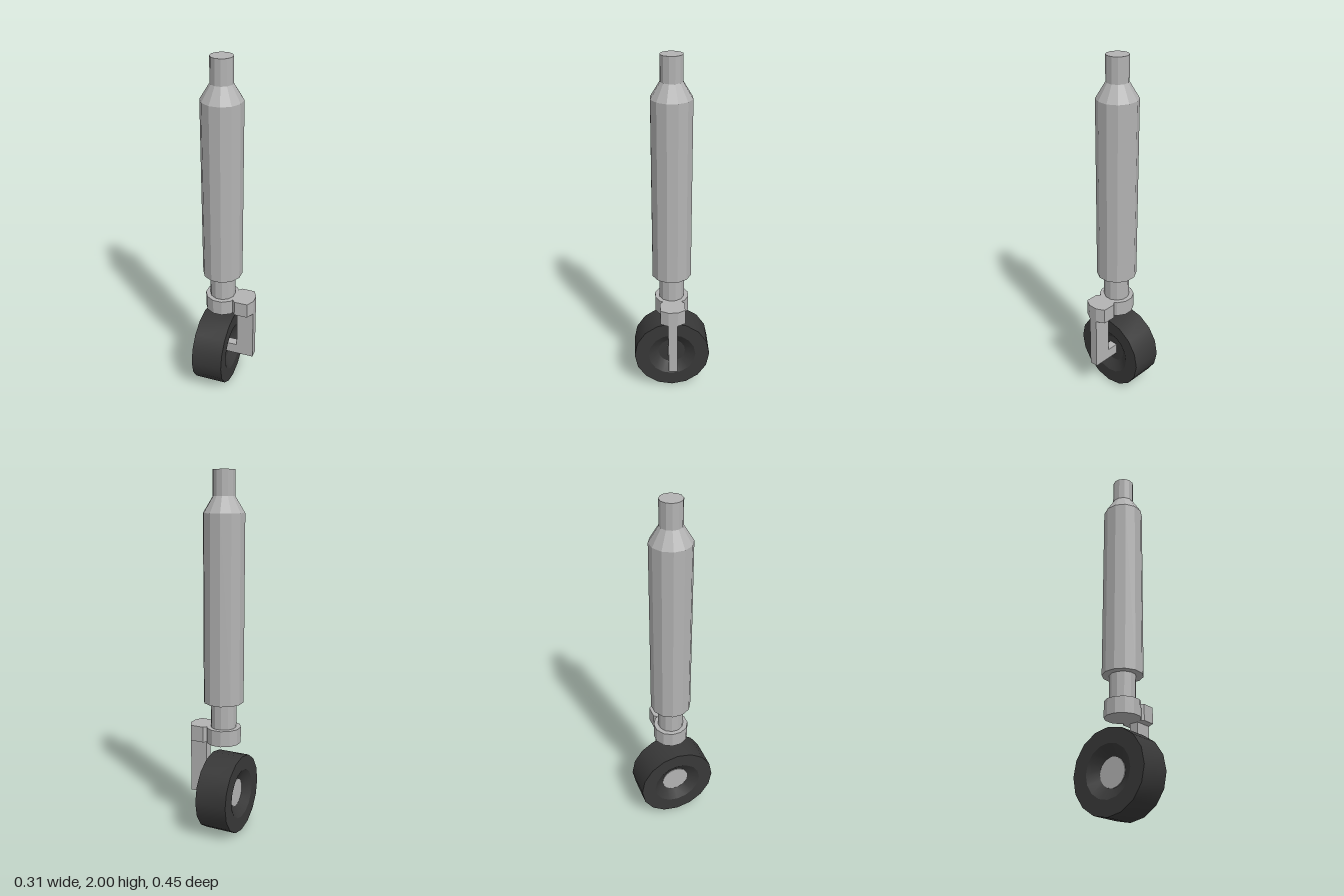
import * as THREE from 'three';
import { toCreasedNormals } from 'three/addons/utils/BufferGeometryUtils.js';

export function createModel() {
  const model = new THREE.Group();
  model.name = 'landingGearStrut';

  const metal = new THREE.MeshStandardMaterial({ color: 0xb3b3b3, flatShading: true });
  metal.name = 'greyMetal';
  const rubber = new THREE.MeshStandardMaterial({ color: 0x383838 });
  rubber.name = 'darkRubber';

  const AXIS_X = -0.04; // strut centre line
  const WHEEL_X = -0.0655, WHEEL_Y = 0.223;

  const add = (name, geometry, material, x = 0, y = 0, z = 0) => {
    const mesh = new THREE.Mesh(geometry, material);
    mesh.name = name;
    mesh.position.set(x, y, z);
    model.add(mesh);
    return mesh;
  };
  const lathe = (pts, sides, start) =>
    new THREE.LatheGeometry(pts.map(([r, h]) => new THREE.Vector2(r, h)), sides, start);
  const extrude = (pts, depth) =>
    new THREE.ExtrudeGeometry(new THREE.Shape(pts.map(([x, y]) => new THREE.Vector2(x, y))),
      { depth, bevelEnabled: false });

  // Twelve-sided strut cylinder with tapered shoulder and top pin
  add('strutCylinder', lathe([
    [0, 0.755], [0.112, 0.755], [0.112, 1.78], [0.06, 1.865], [0.06, 2], [0, 2],
  ], 12, Math.PI / 12), metal, AXIS_X);

  // Sliding piston below the cylinder
  const piston = new THREE.CylinderGeometry(0.072, 0.072, 0.17, 12);
  piston.rotateY(Math.PI / 12);
  add('piston', piston, metal, AXIS_X, 0.685);

  // Collar with a waisted side arm, outlined for one half and mirrored
  const half = [[0.154, 0.026], [0.13, 0.07], [0.054, 0.07], [0.038, 0.052]];
  for (let deg = 45; deg < 180; deg += 30) {
    const a = THREE.MathUtils.degToRad(deg);
    half.push([AXIS_X + 0.098 * Math.cos(a), 0.098 * Math.sin(a)]);
  }
  const outline = [...half, ...half.map(([x, z]) => [x, -z]).reverse()];
  const collar = extrude(outline, 0.09);
  collar.rotateX(-Math.PI / 2);
  add('collarArm', collar, metal, 0, 0.52);

  // L-shaped fork leg reaching into the wheel hub
  add('forkLeg', extrude([
    [-0.03, 0.198], [0.154, 0.198], [0.154, 0.525], [0.055, 0.525], [0.055, 0.262], [-0.03, 0.262],
  ], 0.05), metal, 0, 0, -0.025);

  // Wheel with dished sides
  const tyre = lathe([
    [0, -0.05], [0.08, -0.05], [0.14, -0.0905], [0.223, -0.0905],
    [0.223, 0.0905], [0.14, 0.0905], [0.08, 0.05], [0, 0.05],
  ], 16, 0);
  tyre.rotateZ(-Math.PI / 2);
  add('wheel', toCreasedNormals(tyre, 0.5), rubber, WHEEL_X, WHEEL_Y);

  // Metal hub cap on the outer side
  const cap = new THREE.CylinderGeometry(0.079, 0.079, 0.008, 16);
  cap.rotateZ(-Math.PI / 2);
  add('hubCap', cap, metal, WHEEL_X - 0.05, WHEEL_Y);

  return model;
}
